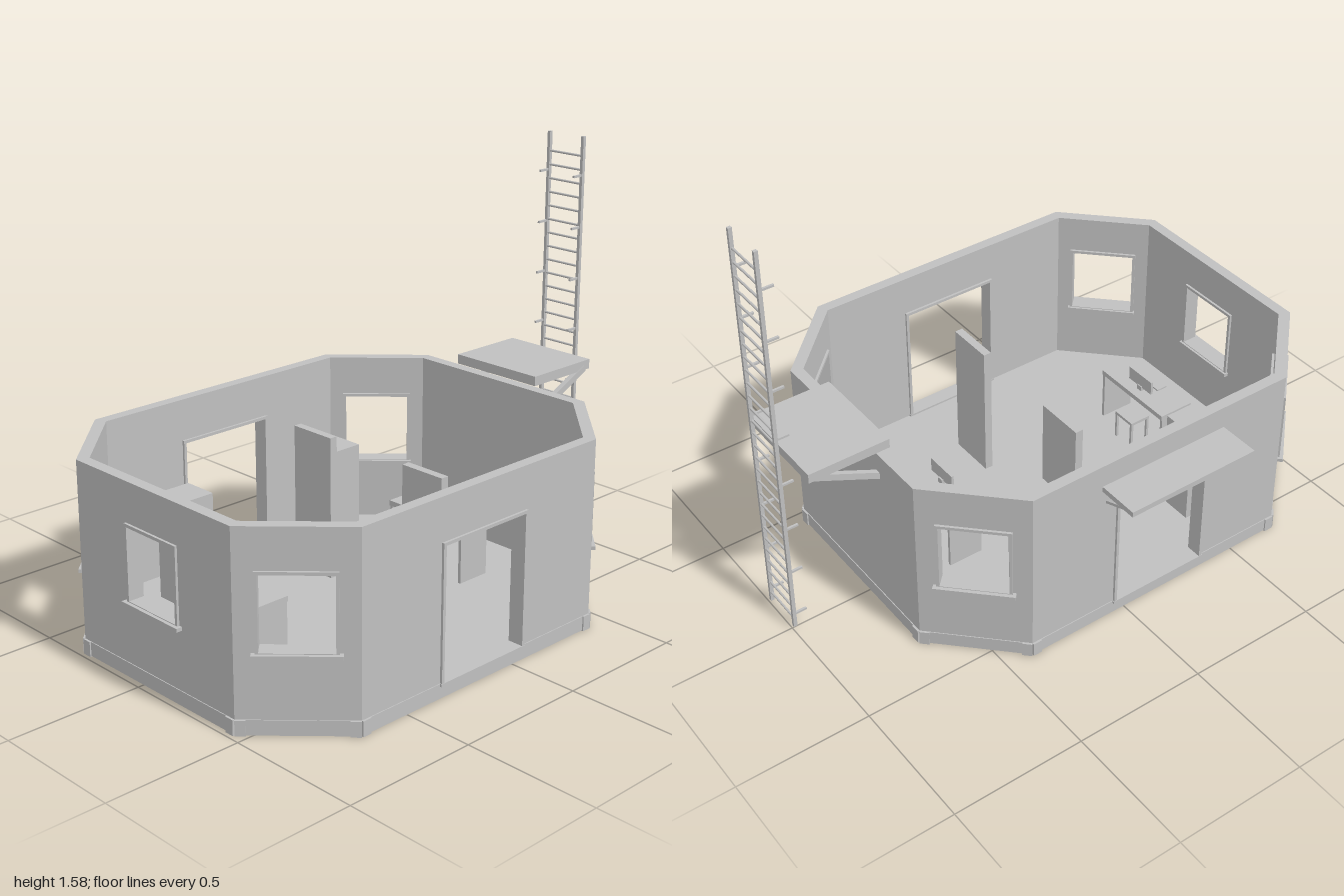
import * as THREE from 'three';

const CX = -0.15, CZ = 0.07, HX = 0.827, HZ = 0.667, CUT = 0.278;
const WALL_H = 0.7, WALL_T = 0.042, BASE_H = 0.055;

export function createModel() {
  const root = new THREE.Group();
  root.name = 'octagonalGuardRoom';
  const grey = new THREE.MeshStandardMaterial({ color: 0xc0c0c0 });
  grey.name = 'plainGrey';

  const add = (parent, name, geo) => {
    const m = new THREE.Mesh(geo, grey);
    m.name = name;
    parent.add(m);
    return m;
  };
  // Box given by its lower and upper limits
  const box = (parent, name, x0, x1, y0, y1, z0, z1) => {
    const m = add(parent, name, new THREE.BoxGeometry(x1 - x0, y1 - y0, z1 - z0));
    m.position.set((x0 + x1) / 2, (y0 + y1) / 2, (z0 + z1) / 2);
    return m;
  };
  const rect = (Type, x0, x1, y0, y1) => new Type()
    .moveTo(x0, y0).lineTo(x1, y0).lineTo(x1, y1).lineTo(x0, y1).closePath();
  const slab = (shape, depth, z) =>
    new THREE.ExtrudeGeometry(shape, { depth, bevelEnabled: false }).translate(0, 0, z);
  // Square bar between two points
  const bar = (parent, name, a, b, w, h) => {
    const p = new THREE.Vector3(...a), q = new THREE.Vector3(...b);
    const m = add(parent, name, new THREE.BoxGeometry(w, h, p.distanceTo(q)));
    m.position.copy(p).add(q).multiplyScalar(0.5);
    m.lookAt(q);
    return m;
  };

  // Floor slab with the clipped corners of the room
  const outline = [
    [HX - CUT, HZ], [HX, HZ - CUT], [HX, CUT - HZ], [HX - CUT, -HZ],
    [CUT - HX, -HZ], [-HX, CUT - HZ], [-HX, HZ - CUT], [CUT - HX, HZ],
  ];
  const floorShape = new THREE.Shape(outline.map(([x, z]) => new THREE.Vector2(x * 0.995, -z * 0.995)));
  const floor = add(root, 'floor', new THREE.ExtrudeGeometry(floorShape, { depth: 0.048, bevelEnabled: false }));
  floor.rotation.x = -Math.PI / 2;
  floor.position.set(CX, 0, CZ);

  // Framed opening in a wall
  const frame = (wall, name, x0, x1, y0, y1) => {
    const w = 0.011, s = rect(THREE.Shape, x0, x1, y0, y1);
    s.holes.push(rect(THREE.Path, x0 + w, x1 - w, y0 + w * 0.5, y1 - w));
    add(wall, name, slab(s, WALL_T + 0.018, -WALL_T - 0.009));
  };

  // Eight walls; local +z points outward
  const wall = (name, nx, nz, length, dx, dz, opening) => {
    const g = new THREE.Group();
    g.name = name;
    g.position.set(CX + dx, 0, CZ + dz);
    g.rotation.y = Math.atan2(nx, nz);
    root.add(g);
    const h = length / 2, s = rect(THREE.Shape, -h, h, 0, WALL_H);
    if (opening === 'door') {
      s.holes.push(rect(THREE.Path, -0.195, 0.195, BASE_H, 0.54));
      frame(g, 'doorFrame', -0.2, 0.2, 0.05, 0.545);
      box(g, 'threshold', -0.203, 0.203, 0.046, 0.056, -WALL_T - 0.01, 0.01);
    } else if (opening === 'window') {
      s.holes.push(rect(THREE.Path, -0.125, 0.125, 0.285, 0.55));
      frame(g, 'windowFrame', -0.13, 0.13, 0.28, 0.556);
      box(g, 'outerSill', -0.142, 0.142, 0.27, 0.283, -0.005, 0.022);
      box(g, 'innerSill', -0.135, 0.135, 0.27, 0.283, -WALL_T - 0.018, -WALL_T + 0.005);
    }
    add(g, 'wallPanel', slab(s, WALL_T, -WALL_T));
    // Skirting with thicker corner feet
    box(g, 'skirting', -h + 0.035, h - 0.035, 0.003, BASE_H, -0.005, 0.003);
    for (const e of [-1, 1]) {
      const a = e * h, b = e * (h - 0.035);
      box(g, 'cornerFoot', Math.min(a, b), Math.max(a, b), 0, BASE_H, -0.01, 0.008);
    }
  };
  const longX = 2 * (HX - CUT), longZ = 2 * (HZ - CUT), diagonal = CUT * Math.SQRT2;
  wall('frontWall', 0, 1, longX, 0, HZ, 'door');
  wall('backWall', 0, -1, longX, 0, -HZ, 'door');
  wall('leftWall', 1, 0, longZ, HX, 0, null);
  wall('rightWall', -1, 0, longZ, -HX, 0, 'window');
  for (const sx of [-1, 1]) for (const sz of [-1, 1])
    wall('cornerWall', sx, sz, diagonal, sx * (HX - CUT / 2), sz * (HZ - CUT / 2), 'window');

  // Interior partitions
  box(root, 'backPartition', -0.035, -0.004, 0.045, 0.59, -0.3, -0.11);
  box(root, 'frontPartition', -0.035, -0.004, 0.045, 0.59, 0.25, 0.435);

  // Lockers with rear slats
  for (const x of [-0.51, 0.2]) {
    const g = new THREE.Group();
    g.name = 'locker';
    g.position.x = x;
    root.add(g);
    box(g, 'lockerBody', -0.07, 0.07, 0.045, 0.445, -0.415, -0.28);
    for (let i = 0; i < 6; i++)
      box(g, 'ventSlat', -0.06, 0.06, 0.33 + i * 0.018, 0.338 + i * 0.018, -0.427, -0.41);
  }

  // Desks with chairs, mirrored about the room centre
  for (const side of [-1, 1]) {
    const g = new THREE.Group();
    g.name = 'deskSet';
    g.position.set(CX + side * 0.487, 0, 0.07);
    g.rotation.y = side < 0 ? 0 : Math.PI;
    root.add(g);
    box(g, 'deskTop', -0.072, 0.072, 0.25, 0.27, -0.18, 0.18);
    for (const z of [-0.18, 0.168]) box(g, 'deskEnd', -0.068, 0.068, 0.045, 0.25, z, z + 0.012);
    box(g, 'screen', 0.022, 0.032, 0.285, 0.34, -0.065, 0.065);
    box(g, 'screenStand', 0.015, 0.036, 0.27, 0.29, -0.012, 0.012);
    box(g, 'keyboard', -0.06, -0.015, 0.27, 0.276, -0.05, 0.05);
    box(g, 'chairSeat', 0.02, 0.108, 0.155, 0.167, -0.05, 0.05);
    for (const x of [0.026, 0.102]) for (const z of [-0.044, 0.044])
      box(g, 'chairLeg', x - 0.005, x + 0.005, 0.045, 0.157, z - 0.005, z + 0.005);
  }

  // Side platform on two slanting braces
  box(root, 'sidePlatform', 0.635, 0.945, 0.72, 0.756, -0.12, 0.262);
  for (const z of [-0.105, 0.253])
    bar(root, 'platformBrace', [0.668, 0.61, z], [0.92, 0.727, z], 0.02, 0.024);

  // Canopy over the back door
  box(root, 'backCanopy', -0.417, 0.113, 0.592, 0.613, -0.755, -0.59);
  for (const x of [-0.395, 0.09])
    bar(root, 'canopyBrace', [x, 0.535, -0.59], [x, 0.597, -0.745], 0.012, 0.01);

  // Tall ladder with stand-off brackets
  const ladder = new THREE.Group();
  ladder.name = 'ladder';
  root.add(ladder);
  for (const z of [-0.003, 0.156]) {
    box(ladder, 'ladderRail', 0.983, 0.997, 0.01, 1.575, z - 0.006, z + 0.006);
    for (let i = 0; i < 8; i++)
      box(ladder, 'wallBracket', 0.94, 0.985, 0.062 + i * 0.195, 0.07 + i * 0.195, z - 0.004, z + 0.004);
  }
  for (let i = 0; i < 29; i++) {
    const rung = add(ladder, 'ladderRung', new THREE.CylinderGeometry(0.0045, 0.0045, 0.155, 8));
    rung.rotation.x = Math.PI / 2;
    rung.position.set(0.99, 0.046 + i * 0.052, 0.0765);
  }
  return root;
}
